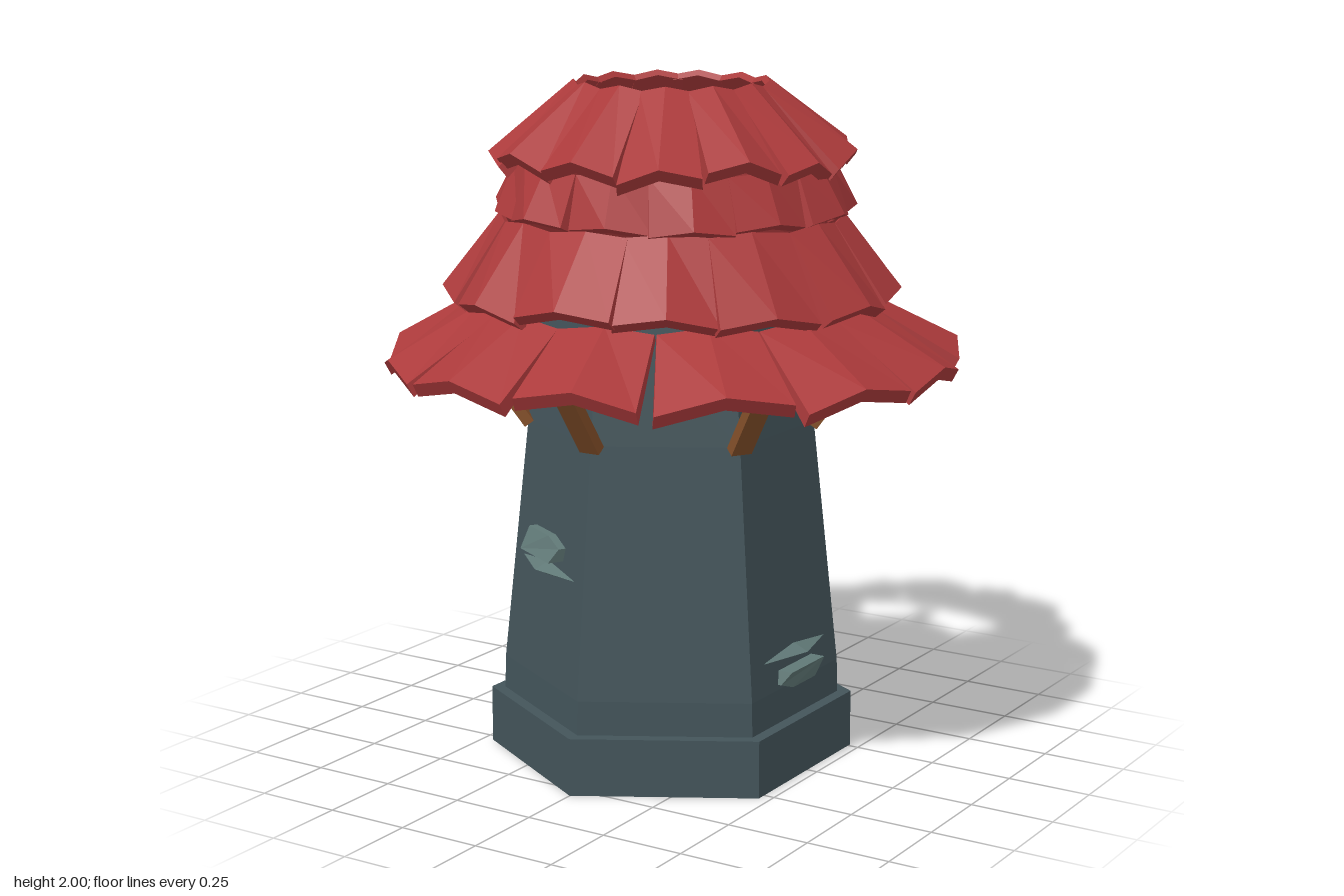
import * as THREE from 'three';
import { mergeGeometries } from 'three/addons/utils/BufferGeometryUtils.js';

const material = (name, color, side = THREE.FrontSide) => {
  const m = new THREE.MeshStandardMaterial({ color, flatShading: true, side });
  m.name = name;
  return m;
};

// Small seeded generator, returns -1..1
let seed = 7;
const jitter = (amount) => {
  seed = (seed * 16807) % 2147483647;
  return (seed / 2147483647 * 2 - 1) * amount;
};

const addMesh = (parent, name, geometry, mat) => {
  const mesh = new THREE.Mesh(geometry, mat);
  mesh.name = name;
  parent.add(mesh);
  return mesh;
};

// Six-sided shell; corners point along +z and -z
const hexShell = (points) => {
  const g = new THREE.LatheGeometry(points.map(([r, y]) => new THREE.Vector2(r, y)), 6).toNonIndexed();
  g.computeVertexNormals();
  return g;
};

// Ridged roof tile running outward along +z, from (r0, y0) down to (r1, y1)
function tile({ r0, y0, w0, r1, y1, w1 }) {
  const len = Math.hypot(r1 - r0, y0 - y1);
  const nz = (y0 - y1) / len, ny = (r1 - r0) / len;
  const section = (r, y, w, drop, thick, skew) => {
    const rows = [[-w, drop + skew], [0, 0], [w, drop - skew],
      [w, drop - skew + thick], [0, thick], [-w, drop + skew + thick]];
    return rows.map(([x, d]) => [x, y - ny * d, r - nz * d]);
  };
  const pts = [
    ...section(r0, y0, w0, 0.018, 0.02, 0),
    ...section(r1 + jitter(0.012), y1 + jitter(0.012), w1 * (1 + jitter(0.08)), 0.045, 0.042, jitter(0.014)),
  ];
  const index = [0, 1, 4, 0, 4, 5, 1, 2, 3, 1, 3, 4, 6, 11, 10, 6, 10, 7, 7, 10, 9, 7, 9, 8];
  for (let i = 0; i < 6; i++) {
    const j = (i + 1) % 6;
    index.push(i, i + 6, j + 6, i, j + 6, j);
  }
  const g = new THREE.BufferGeometry();
  g.setAttribute('position', new THREE.Float32BufferAttribute(pts.flat(), 3));
  g.setIndex(index);
  const flat = g.toNonIndexed();
  flat.computeVertexNormals();
  return flat;
}

export function createModel() {
  const model = new THREE.Group();
  model.name = 'roundTower';
  const wall = material('slateWall', 0x43545a, THREE.DoubleSide);
  const red = material('redTile', 0xab3a3b);
  const wood = material('brownWood', 0x85502a);
  const stone = material('paleStone', 0x607876);

  // Tower body and open-bottomed plinth
  const tower = new THREE.Group();
  tower.name = 'tower';
  tower.position.z = 0.01;
  model.add(tower);
  addMesh(tower, 'plinth', hexShell([[0.54, 0], [0.54, 0.17], [0, 0.17]]), wall);
  addMesh(tower, 'towerWall', hexShell([[0.5, 0.17], [0.497, 0.27], [0.42, 1.0], [0.372, 1.43], [0, 1.43]]), wall);

  // Wooden braces leaning out from the corners
  const inner = new THREE.Vector2(0.415, 0.99), outer = new THREE.Vector2(0.61, 1.26);
  const run = outer.clone().sub(inner);
  for (let i = 0; i < 6; i++) {
    const pivot = new THREE.Group();
    pivot.name = 'brace' + (i + 1);
    pivot.rotation.y = i * Math.PI / 3;
    const beam = addMesh(pivot, 'braceBeam', new THREE.BoxGeometry(0.065, run.length(), 0.032), wood);
    beam.position.set(0, (inner.y + outer.y) / 2, (inner.x + outer.x) / 2);
    beam.rotation.x = Math.atan2(run.x, run.y);
    tower.add(pivot);
  }

  // Chipped stones: a thin pointed sliver with a wedge beside it
  const wedge = new THREE.Shape([[-0.1, 0.04], [0.09, 0.04], [0.1, 0.08], [0.03, 0.105], [-0.1, 0.105]]
    .map(([x, y]) => new THREE.Vector2(x, y)));
  const addStones = (name, angle, y, distance, roll) => {
    const g = new THREE.Group();
    g.name = name;
    g.rotation.set(0, angle, roll);
    g.position.set(Math.sin(angle) * distance, y, Math.cos(angle) * distance);
    const sliver = addMesh(g, 'stoneSliver', new THREE.OctahedronGeometry(1), stone);
    sliver.scale.set(0.175, 0.021, 0.045);
    const block = new THREE.ExtrudeGeometry(wedge, { depth: 0.07, bevelEnabled: false });
    // Slope the outer face so the block tapers into the wall
    const p = block.attributes.position;
    for (let i = 0; i < p.count; i++) {
      if (p.getZ(i) > 0.03) p.setZ(i, p.getY(i) > 0.06 ? 0.04 : 0.07);
    }
    block.computeVertexNormals();
    addMesh(g, 'stoneWedge', block, stone).position.z = -0.025;
    tower.add(g);
  };
  addStones('frontStones', -Math.PI / 6, 0.6, 0.4, 0);
  addStones('sideStones', Math.PI / 2, 0.365, 0.425, Math.PI);

  // Roof: four rings of thirteen overlapping tiles
  const rings = [
    { r0: 0.57, y0: 1.375, w0: 0.14, r1: 0.835, y1: 1.235, w1: 0.178, phase: 0 },
    { r0: 0.5, y0: 1.62, w0: 0.124, r1: 0.665, y1: 1.415, w1: 0.146, phase: 0.4 },
    { r0: 0.465, y0: 1.775, w0: 0.114, r1: 0.53, y1: 1.63, w1: 0.122, phase: 0.1 },
    { r0: 0.285, y0: 2.0, w0: 0.072, r1: 0.53, y1: 1.805, w1: 0.118, phase: 0.45 },
  ];
  const count = 13;
  rings.forEach((ring, k) => {
    const tiles = [];
    for (let i = 0; i < count; i++) {
      const angle = Math.PI - (i + ring.phase) / count * Math.PI * 2 + jitter(0.025);
      tiles.push(tile(ring).rotateY(angle));
    }
    addMesh(model, 'roofTileRing' + (k + 1), mergeGeometries(tiles), red);
  });

  return model;
}
